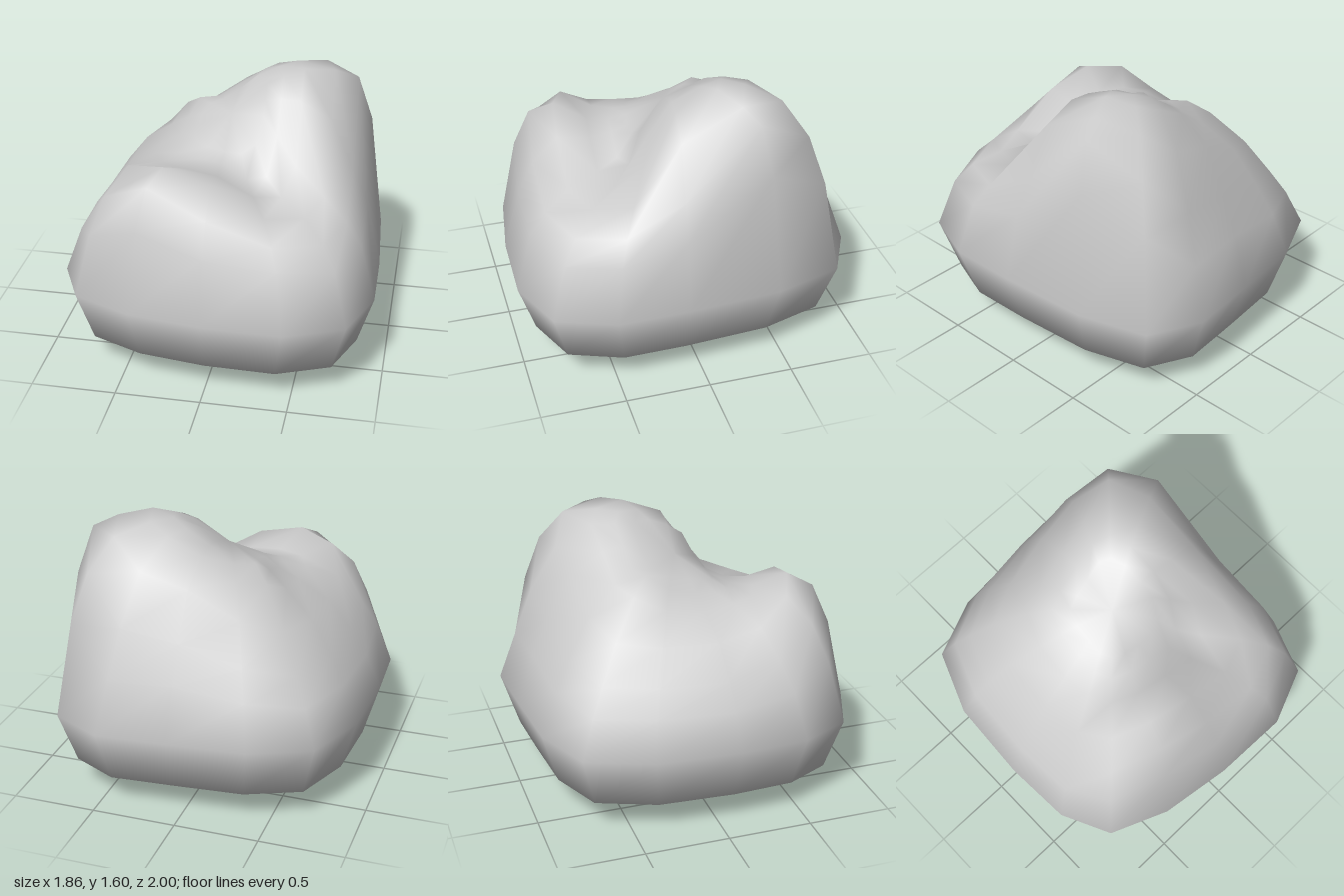
import * as THREE from 'three';

// Plan shrink of the rings above the widest line
const SCALES = [0.9, 0.8, 0.65, 0.45, 0.32, 0.22];
const TOP = 1.37; // height at the middle of the top

// Sixteen spokes, turning from +x towards +z: widest x, z, then height at each scale
const SPOKES = [
  [0.925, 0.1, 0.9, 1.1, 1.4, 1.5, 1.5, 1.48],
  [0.93, 0.52, 0.81, 0.93, 1.04, 1.18, 1.32, 1.42],
  [0.8, 0.86, 0.8, 0.92, 1.01, 1.04, 1.11, 1.27],
  [0.46, 1, 0.84, 0.94, 1.03, 1.06, 1.1, 1.22],
  [0, 0.99, 0.87, 1.06, 1.21, 1.17, 1.19, 1.22],
  [-0.43, 0.93, 0.98, 1.21, 1.28, 1.19, 1.2, 1.24],
  [-0.77, 0.79, 0.86, 1.08, 1.23, 1.19, 1.21, 1.25],
  [-0.91, 0.5, 0.76, 0.92, 1.1, 1.18, 1.21, 1.26],
  [-0.93, 0.1, 0.71, 0.86, 1.04, 1.16, 1.23, 1.29],
  [-0.9, -0.4, 0.72, 0.87, 1.05, 1.19, 1.27, 1.31],
  [-0.75, -0.78, 0.71, 0.86, 1.07, 1.27, 1.35, 1.35],
  [-0.4, -0.93, 0.75, 0.92, 1.14, 1.29, 1.35, 1.37],
  [0.05, -0.97, 0.81, 1.03, 1.3, 1.43, 1.45, 1.44],
  [0.47, -1, 0.8, 1.09, 1.38, 1.53, 1.54, 1.52],
  [0.77, -0.85, 1.06, 1.34, 1.53, 1.58, 1.58, 1.53],
  [0.89, -0.45, 1.23, 1.51, 1.57, 1.6, 1.57, 1.53],
];

// Rounded underside and widest line, shared by every spoke: [scale, height]
const BASE = [[0.52, 0.03], [0.9, 0.18], [1, 0.5]];

function boulderGeometry() {
  const n = SPOKES.length;
  const rings = BASE.length + SCALES.length;
  const positions = [];
  const index = [];

  // Rings from the underside to the top
  for (let k = 0; k < rings; k++) {
    for (const [x, z, ...heights] of SPOKES) {
      const j = k - BASE.length;
      const [s, y] = j < 0 ? BASE[k] : [SCALES[j], heights[j]];
      positions.push(x * s, y, z * s);
    }
  }
  const bottom = rings * n;
  const top = bottom + 1;
  positions.push(0, 0, 0, 0, TOP, 0);

  // Skin between the rings, closed by a fan at each end
  for (let i = 0; i < n; i++) {
    const next = (i + 1) % n;
    for (let k = 0; k < rings - 1; k++) {
      const a = k * n + i, b = k * n + next;
      index.push(a, a + n, b, b, a + n, b + n);
    }
    index.push(bottom, i, next);
    index.push((rings - 1) * n + i, top, (rings - 1) * n + next);
  }

  const geometry = new THREE.BufferGeometry();
  geometry.setAttribute('position', new THREE.Float32BufferAttribute(positions, 3));
  geometry.setIndex(index);
  geometry.computeVertexNormals();
  return geometry;
}

export function createModel() {
  const group = new THREE.Group();
  group.name = 'rock';
  const boulder = new THREE.Mesh(
    boulderGeometry(),
    new THREE.MeshStandardMaterial({ color: 0xcccccc })
  );
  boulder.name = 'boulder';
  group.add(boulder);
  return group;
}
